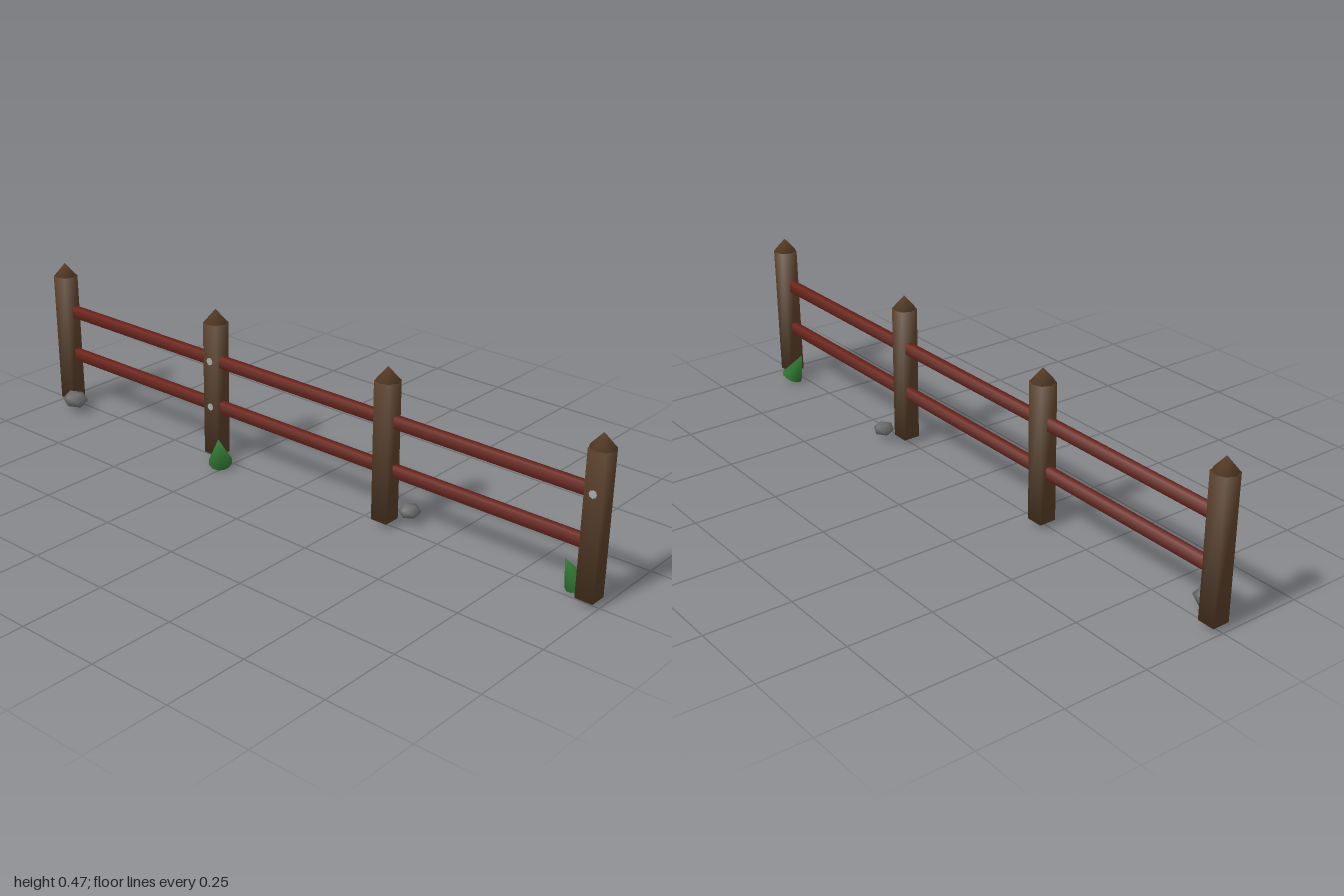
import * as THREE from 'three';
import { mergeVertices } from 'three/addons/utils/BufferGeometryUtils.js';

const paint = (color) => new THREE.MeshStandardMaterial({ color });

// Share corners so that the shading runs smoothly over every edge
function soften(geometry) {
  geometry.deleteAttribute('normal');
  geometry.deleteAttribute('uv');
  const merged = mergeVertices(geometry, 1e-5);
  merged.computeVertexNormals();
  return merged;
}

// Box whose corner normals point diagonally outward, so it shades as if rounded
function softBox(width, height, depth) {
  const box = new THREE.BoxGeometry(width, height, depth);
  const { position, normal } = box.attributes;
  const n = new THREE.Vector3();
  for (let i = 0; i < position.count; i++) {
    n.set(Math.sign(position.getX(i)), Math.sign(position.getY(i)), Math.sign(position.getZ(i))).normalize();
    normal.setXYZ(i, n.x, n.y, n.z);
  }
  return box;
}

export function createModel() {
  const model = new THREE.Group();
  const wood = paint(0x573d27);
  const red = paint(0x75291f);
  const stone = paint(0x6b6b6b);
  const leaf = paint(0x2f7530);
  const metal = paint(0xa8a8a8);

  const add = (name, geometry, material, parent = model) => {
    const mesh = new THREE.Mesh(geometry, material);
    mesh.name = name;
    parent.add(mesh);
    return mesh;
  };

  // Square posts with round pointed caps, each leaning a little: x, z, lean about x, lean about z
  const posts = [
    [-0.965, 0.002, 0, 0.007],
    [-0.323, -0.008, -0.012, 0],
    [0.321, 0.002, 0, 0],
    [0.965, -0.008, -0.012, 0],
  ];
  const bottom = 0.015, top = 0.425;
  for (const [x, z, leanX, leanZ] of posts) {
    const post = new THREE.Group();
    post.name = 'post';
    add('postShaft', softBox(0.052, top - bottom, 0.052), wood, post);
    const cap = add('postCap', soften(new THREE.ConeGeometry(0.035, 0.04, 8)), wood, post);
    cap.position.y = (top - bottom) / 2 + 0.02;
    post.position.set(x, (top + bottom) / 2, z);
    post.rotation.set(leanX, 0, leanZ);
    model.add(post);
  }

  // Two flat rails running through all posts
  for (const y of [0.166, 0.309]) {
    add('rail', softBox(1.93, 0.034, 0.02), red).position.set(0, y, -0.005);
  }

  // Bolt heads on the post fronts
  for (const [x, y] of [[-0.323, 0.31], [-0.323, 0.167], [0.965, 0.31]]) {
    const bolt = add('bolt', new THREE.CylinderGeometry(0.011, 0.011, 0.01, 8), metal);
    bolt.position.set(x, y, 0.0145);
    bolt.rotation.x = Math.PI / 2;
  }

  // Rocks: position, radii
  for (const [position, radii] of [
    [[-0.902, 0.036, 0.046], [0.044, 0.027, 0.038]],
    [[0.368, 0.035, -0.049], [0.032, 0.021, 0.033]],
  ]) {
    const rock = add('rock', soften(new THREE.IcosahedronGeometry(1, 0)), stone);
    rock.position.set(...position);
    rock.scale.set(...radii);
  }

  // Leaning cone shrubs: base centre, tip, radius
  for (const [base, tip, radius] of [
    [[-0.268, 0.014, 0.038], [-0.242, 0.105, 0.071], 0.035],
    [[0.908, 0.015, -0.043], [0.882, 0.092, -0.016], 0.034],
  ]) {
    const start = new THREE.Vector3(...base);
    const axis = new THREE.Vector3(...tip).sub(start);
    const shrub = add('shrub', soften(new THREE.ConeGeometry(radius, axis.length(), 12)), leaf);
    shrub.position.copy(start).addScaledVector(axis, 0.5);
    shrub.quaternion.setFromUnitVectors(new THREE.Vector3(0, 1, 0), axis.normalize());
  }

  return model;
}
